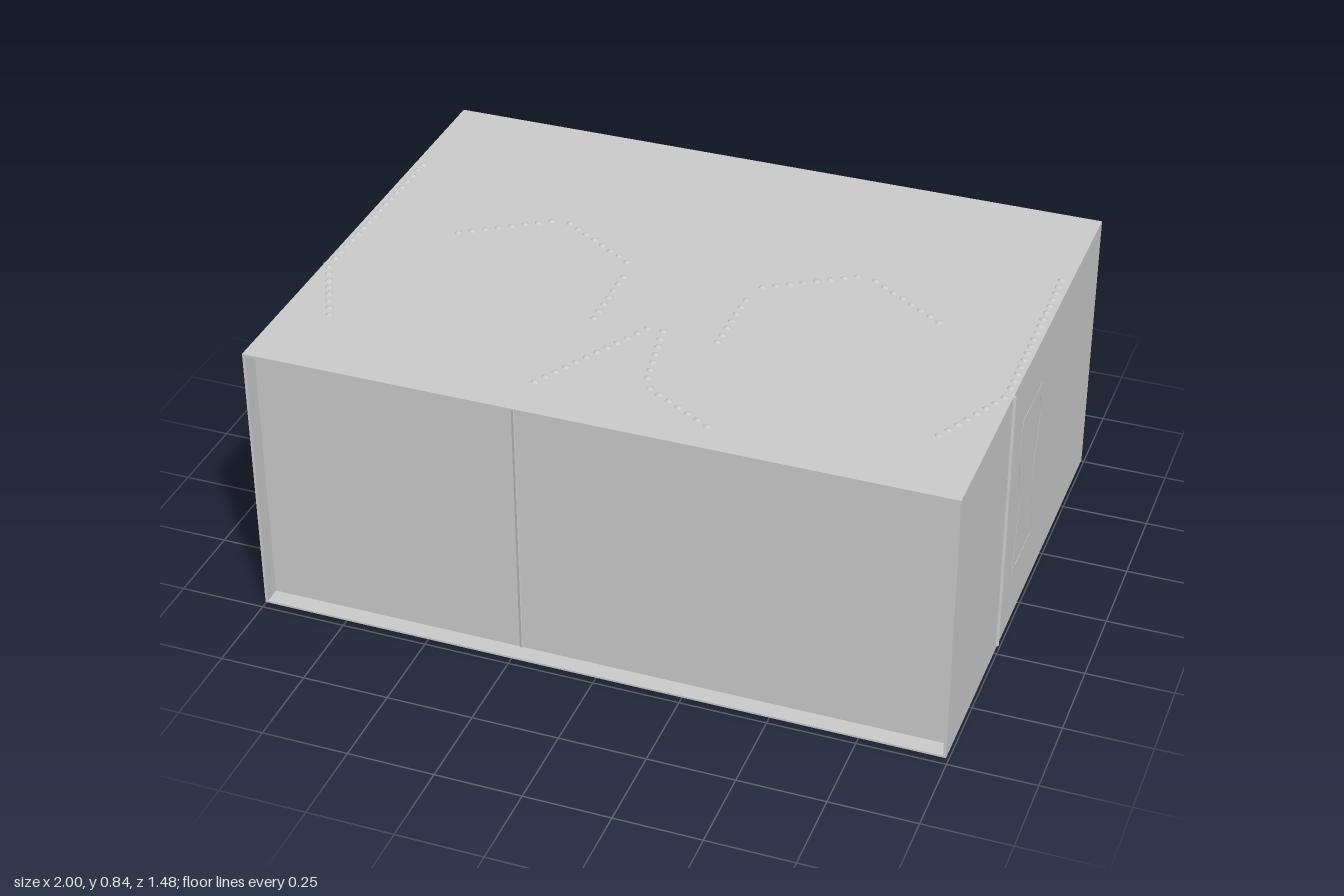
import * as THREE from 'three';

const FLOOR = 0.015, CEILING = 0.84;
const HEIGHT = CEILING - FLOOR, MID = (CEILING + FLOOR) / 2;
const material = new THREE.MeshStandardMaterial({ color: 0xcccccc, side: THREE.DoubleSide });
const beadGeometry = new THREE.SphereGeometry(0.0145, 10, 8);

function box(parent, name, size, position, turn = 0) {
  const mesh = new THREE.Mesh(new THREE.BoxGeometry(...size), material);
  mesh.name = name;
  mesh.position.set(...position);
  mesh.rotation.y = turn;
  parent.add(mesh);
  return mesh;
}

// Row of beads at floor and ceiling between two plan points
function beadRows(parent, [x0, z0], [x1, z1]) {
  const steps = Math.max(1, Math.round(Math.hypot(x1 - x0, z1 - z0) / 0.037));
  for (const y of [FLOOR, CEILING - 0.009]) {
    for (let i = 0; i <= steps; i++) {
      const t = i / steps;
      const bead = new THREE.Mesh(beadGeometry, material);
      bead.name = 'trimBead';
      bead.position.set(x0 + (x1 - x0) * t, y, z0 + (z1 - z0) * t);
      parent.add(bead);
    }
  }
}

// Full-height panel with an upright post at each end
function panel(parent, [x0, z0], [x1, z1], thickness = 0.012) {
  const length = Math.hypot(x1 - x0, z1 - z0);
  const turn = Math.atan2(-(z1 - z0), x1 - x0);
  box(parent, 'screenPanel', [length, HEIGHT - 0.004, thickness],
    [(x0 + x1) / 2, MID, (z0 + z1) / 2], turn);
  for (const [x, z] of [[x0, z0], [x1, z1]]) {
    box(parent, 'panelPost', [0.03, HEIGHT - 0.004, thickness + 0.008], [x, MID, z], turn);
  }
}

// Outline with wavy sides for the wall frames
function wavyOutline(path, inset) {
  const side = [[0.1, 0.68], [0.12, 0.57], [0.085, 0.43], [0.09, 0.33], [0.115, 0.17]];
  const last = side.length - 1;
  const pts = side.map(([u, y], i) => new THREE.Vector2(
    u - inset, y + (i === 0 ? -inset : i === last ? inset : 0)));
  const mirrored = pts.map((p) => new THREE.Vector2(-p.x, p.y)).reverse();
  path.moveTo(pts[0].x, pts[0].y);
  path.splineThru(pts.slice(1));
  path.lineTo(mirrored[0].x, mirrored[0].y);
  path.splineThru(mirrored.slice(1));
  path.closePath();
  return path;
}

export function createModel() {
  const model = new THREE.Group();
  model.name = 'room';

  // Shell, open at the back, with a recessed front wall
  box(model, 'floor', [1.99, 0.006, 1.48], [0, FLOOR, 0]);
  box(model, 'ceiling', [1.99, 0.006, 1.48], [0, CEILING - 0.003, 0]);
  for (const s of [1, -1]) {
    box(model, 'sideWall', [0.008, HEIGHT, 1.48], [s * 0.991, MID, 0]);
  }
  box(model, 'frontWall', [1.99, HEIGHT, 0.008], [0, MID, 0.685]);

  for (const s of [1, -1]) {
    const half = new THREE.Group();
    half.name = s > 0 ? 'leftScreens' : 'rightScreens';
    model.add(half);
    const at = (x, z) => [s * x, z];

    // Folded screen standing in the room
    const fold = [at(0.71, -0.05), at(0.455, -0.205), at(0.19, -0.055)];
    panel(half, fold[0], fold[1]);
    panel(half, fold[1], fold[2]);
    panel(half, at(0.18, 0.0), at(0.175, 0.26));
    beadRows(half, fold[0], at(0.485, -0.2));
    beadRows(half, at(0.43, -0.205), at(0.2, -0.06));
    beadRows(half, at(0.18, 0.02), at(0.178, 0.25));

    // Panels along the side wall, bending inward at the front
    panel(half, at(0.972, -0.39), at(0.982, 0.22), 0.006);
    panel(half, at(0.985, 0.24), at(0.855, 0.5));
    beadRows(half, at(0.968, -0.38), at(0.978, 0.2));
    beadRows(half, at(0.974, 0.25), at(0.862, 0.48));

    // Wavy frame on the side wall
    const shape = wavyOutline(new THREE.Shape(), 0);
    shape.holes.push(wavyOutline(new THREE.Path(), 0.018));
    const frame = new THREE.Mesh(new THREE.ExtrudeGeometry(shape,
      { depth: 0.024, bevelEnabled: false, curveSegments: 16 }), material);
    frame.name = 'wallFrame';
    frame.rotation.y = Math.PI / 2;
    frame.position.x = s * 0.984 - 0.012;
    half.add(frame);
  }

  // Diverging panels running to the front wall
  const centre = new THREE.Group();
  centre.name = 'centreScreens';
  model.add(centre);
  panel(centre, [-0.02, 0.24], [-0.235, 0.675]);
  beadRows(centre, [-0.022, 0.25], [-0.208, 0.6]);
  panel(centre, [0.02, 0.24], [0.07, 0.5]);
  beadRows(centre, [0.022, 0.25], [0.065, 0.48]);
  panel(centre, [0.07, 0.51], [0.325, 0.667]);
  beadRows(centre, [0.088, 0.527], [0.29, 0.642]);

  return model;
}
